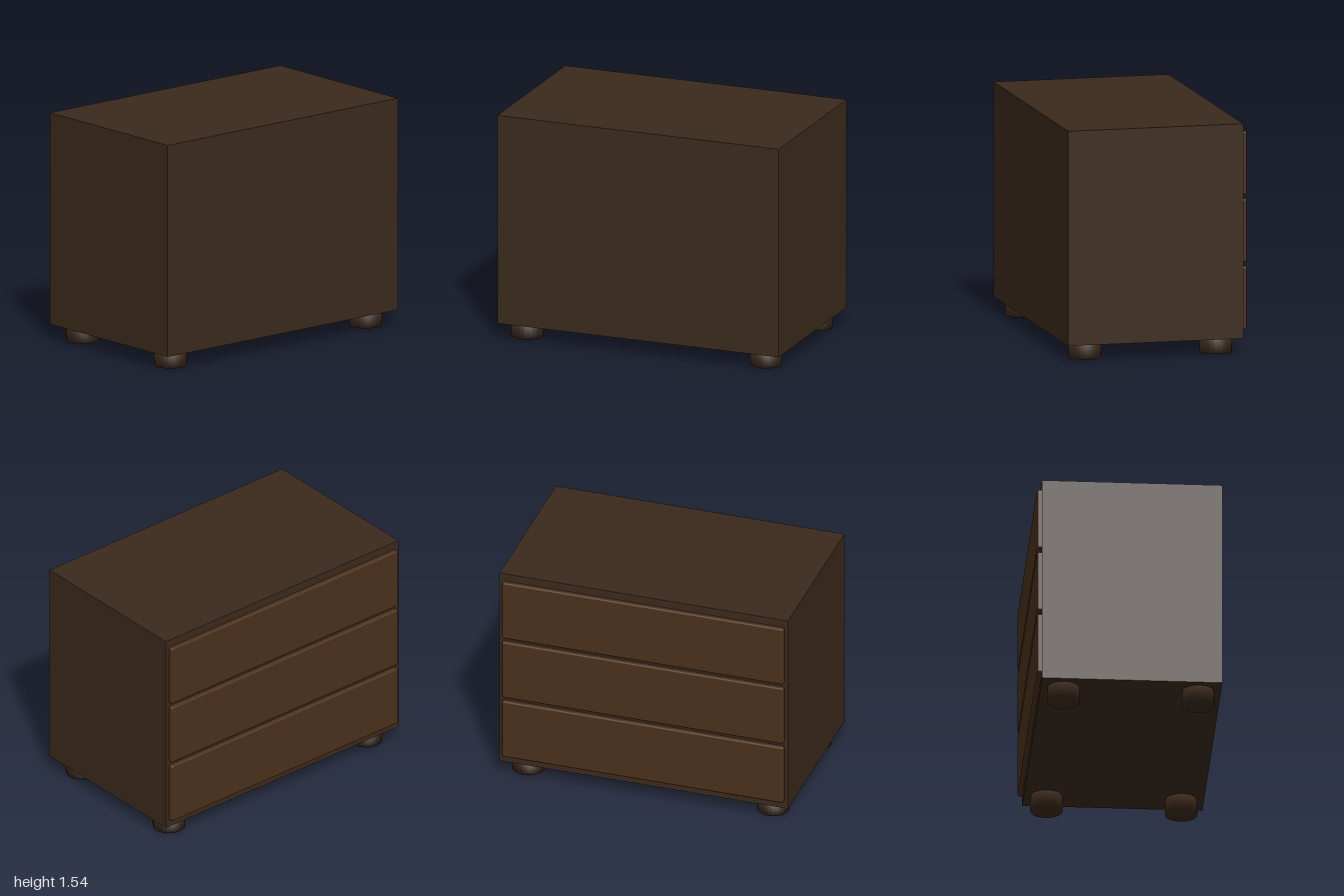
import * as THREE from 'three';
import { RoundedBoxGeometry } from 'three/addons/geometries/RoundedBoxGeometry.js';

export function createModel() {
  const group = new THREE.Group();
  const bodyWood = new THREE.MeshStandardMaterial({ color: 0x3b2a1c });
  const drawerWood = new THREE.MeshStandardMaterial({ color: 0x4b301c });
  const footWood = new THREE.MeshStandardMaterial({ color: 0x3a281b });

  const add = (name, geometry, material, x, y, z) => {
    const mesh = new THREE.Mesh(geometry, material);
    mesh.name = name;
    mesh.position.set(x, y, z);
    group.add(mesh);
  };

  // Cabinet body
  const bottom = 0.105, top = 1.54, back = 0.61, face = -0.58;
  add('cabinetBody', new THREE.BoxGeometry(back - face, top - bottom, 2), bodyWood,
    (back + face) / 2, (top + bottom) / 2, 0);

  // Three drawer fronts with softened edges, sunk slightly into the body
  const drawer = new RoundedBoxGeometry(0.05, 0.423, 1.95, 3, 0.012);
  for (let i = 0; i < 3; i++) {
    add(`drawerFront${i + 1}`, drawer, drawerWood, -0.587, 0.369 + i * 0.452, 0);
  }

  // Four round feet, shaded softly over the rim
  const r = 0.107;
  const foot = new THREE.LatheGeometry([
    new THREE.Vector2(0, 0), new THREE.Vector2(r, 0),
    new THREE.Vector2(r, bottom), new THREE.Vector2(0, bottom),
  ], 24);
  for (const x of [-0.43, 0.46]) {
    for (const z of [-0.848, 0.848]) add('foot', foot, footWood, x, 0, z);
  }

  return group;
}
